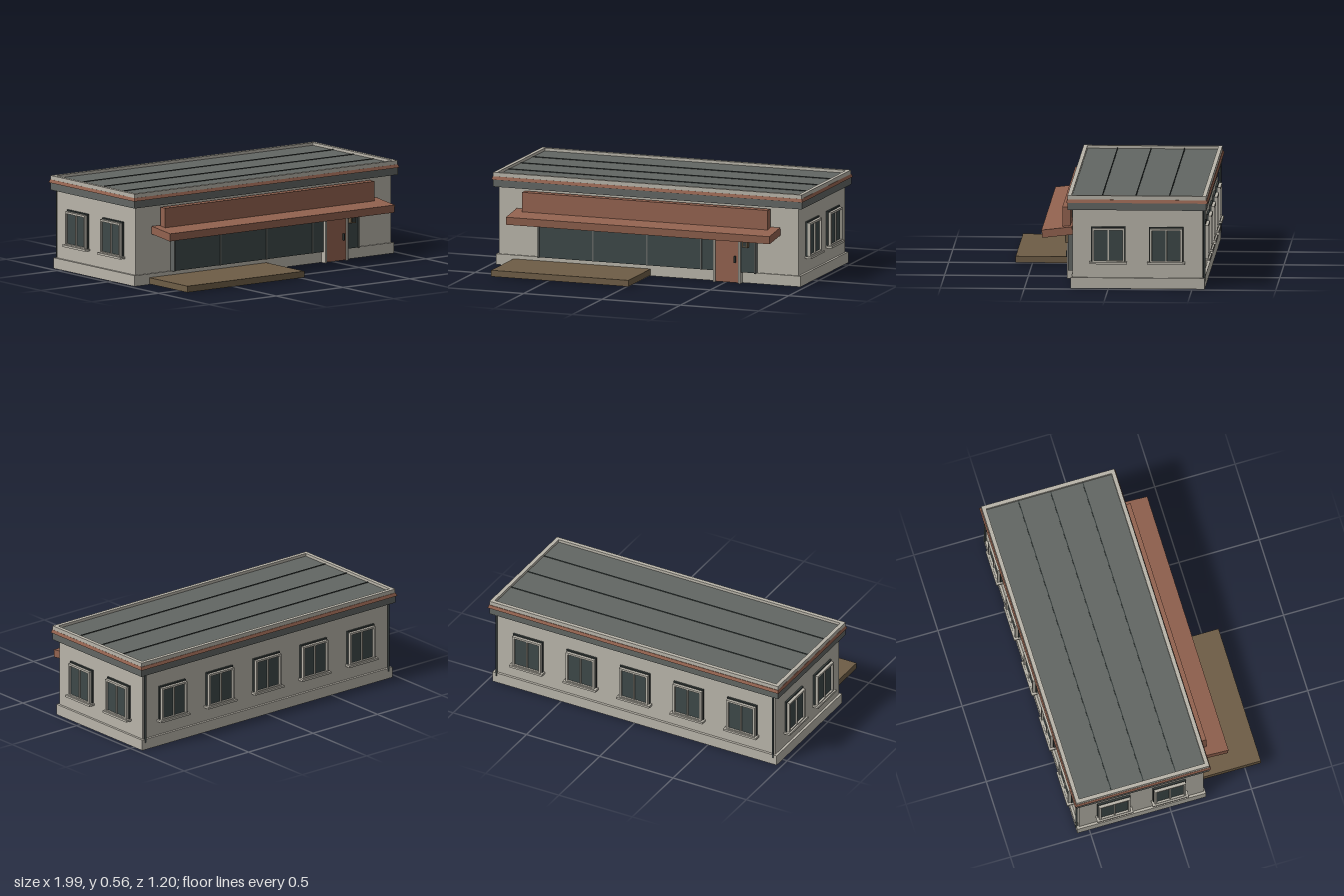
import * as THREE from 'three';

const mat = (name, color) => {
  const m = new THREE.MeshStandardMaterial({ color });
  m.name = name;
  return m;
};

export function createModel() {
  const plaster = mat('plaster', 0xb8b4a9);
  const slate = mat('slate', 0x626663);
  const brick = mat('brick red', 0x92624f);
  const timber = mat('timber', 0x6e5d46);
  const glass = mat('glass', 0x3d4848);
  const dark = mat('dark metal', 0x343b3a);

  const root = new THREE.Group();
  root.name = 'building';

  // Box given by its limits on each axis
  function box(parent, name, material, [x0, x1], [y0, y1], [z0, z1]) {
    const mesh = new THREE.Mesh(new THREE.BoxGeometry(x1 - x0, y1 - y0, z1 - z0), material);
    mesh.position.set((x0 + x1) / 2, (y0 + y1) / 2, (z0 + z1) / 2);
    mesh.name = name;
    parent.add(mesh);
    return mesh;
  }

  // Main body
  box(root, 'walls', plaster, [-0.955, 0.955], [0.002, 0.478], [-0.56, 0.215]);
  box(root, 'plinth', plaster, [-0.97, 0.97], [0, 0.065], [-0.575, 0.225]);

  // Roof edge, deck and seams
  box(root, 'fascia', slate, [-0.985, 0.985], [0.475, 0.52], [-0.585, 0.243]);
  const trim = box(root, 'roofTrim', brick, [-0.992, 0.992], [0.519, 0.538], [-0.595, 0.251]);
  const p = trim.geometry.attributes.position;
  for (let i = 0; i < p.count; i++) {
    if (p.getY(i) > 0) { // slope the trim inwards
      p.setX(i, p.getX(i) - Math.sign(p.getX(i)) * 0.007);
      p.setZ(i, p.getZ(i) - Math.sign(p.getZ(i)) * 0.007);
    }
  }
  trim.geometry.computeVertexNormals();
  box(root, 'roofDeck', slate, [-0.962, 0.962], [0.53, 0.545], [-0.567, 0.222]);
  for (const z of [-0.36, -0.16, 0.04])
    box(root, 'roofSeam', dark, [-0.96, 0.96], [0.544, 0.549], [z - 0.003, z + 0.003]);
  for (const s of [-1, 1]) {
    const x = s * 0.972;
    box(root, 'parapetSide', plaster, [x - 0.012, x + 0.012], [0.52, 0.562], [-0.585, 0.243]);
  }
  box(root, 'parapetFront', plaster, [-0.96, 0.96], [0.52, 0.562], [0.219, 0.243]);
  box(root, 'parapetBack', plaster, [-0.96, 0.96], [0.52, 0.562], [-0.585, -0.561]);

  // Window built facing +z, standing on the wall plane z = 0
  function makeWindow(x, z, turn) {
    const g = new THREE.Group();
    g.name = 'window';
    box(g, 'surround', dark, [-0.102, 0.102], [0.16, 0.372], [-0.004, 0.012]);
    box(g, 'pane', glass, [-0.092, 0.092], [0.166, 0.362], [0, 0.018]);
    for (const s of [-1, 1])
      box(g, 'stile', plaster, [s * 0.091 - 0.006, s * 0.091 + 0.006], [0.163, 0.362], [0, 0.03]);
    box(g, 'headRail', plaster, [-0.097, 0.097], [0.352, 0.364], [0, 0.03]);
    box(g, 'bottomRail', plaster, [-0.097, 0.097], [0.16, 0.17], [0, 0.03]);
    box(g, 'mullion', plaster, [-0.004, 0.004], [0.165, 0.36], [0, 0.026]);
    box(g, 'sill', plaster, [-0.112, 0.112], [0.15, 0.163], [-0.004, 0.04]);
    g.position.set(x, 0, z);
    g.rotation.y = turn;
    root.add(g);
  }
  for (let i = -2; i <= 2; i++) makeWindow(i * 0.365, -0.56, Math.PI);
  for (const s of [-1, 1])
    for (const z of [0, -0.345]) makeWindow(s * 0.955, z, s * Math.PI / 2);

  // Drainpipes at the back corners
  for (const s of [-1, 1]) {
    const pipe = new THREE.Mesh(new THREE.CylinderGeometry(0.007, 0.007, 0.435, 12), dark);
    pipe.position.set(s * 0.943, 0.262, -0.572);
    pipe.name = 'drainpipe';
    root.add(pipe);
  }

  // Shop front
  box(root, 'shopGlass', glass, [-0.69, 0.685], [0.067, 0.31], [0.21, 0.246]);
  for (const x of [-0.345, 0, 0.345])
    box(root, 'shopMullion', slate, [x - 0.004, x + 0.004], [0.067, 0.31], [0.21, 0.252]);
  for (const x of [-0.691, 0.688])
    box(root, 'shopFrameEnd', slate, [x - 0.004, x + 0.004], [0.065, 0.31], [0.21, 0.254]);

  // Door with jambs, handle and wall lamp
  box(root, 'door', brick, [0.438, 0.59], [0.003, 0.3], [0.21, 0.254]);
  for (const x of [0.433, 0.594])
    box(root, 'doorJamb', plaster, [x - 0.006, x + 0.006], [0, 0.3], [0.21, 0.264]);
  box(root, 'doorHandle', dark, [0.562, 0.569], [0.125, 0.165], [0.25, 0.272]);
  box(root, 'wallLamp', timber, [0.615, 0.65], [0.223, 0.275], [0.24, 0.27]);
  box(root, 'lampFace', dark, [0.621, 0.644], [0.23, 0.268], [0.268, 0.275]);

  // Sloping canopy and blank sign board
  const canopy = box(root, 'canopy', brick, [-0.84, 0.84], [0.293, 0.34], [0.22, 0.403]);
  canopy.rotation.x = 0.115;
  box(root, 'signBoard', brick, [-0.785, 0.782], [0.335, 0.462], [0.235, 0.283]);
  for (const x of [-0.6, 0, 0.6])
    box(root, 'signBracket', dark, [x - 0.01, x + 0.01], [0.37, 0.43], [0.21, 0.24]);

  // Terrace
  box(root, 'terrace', timber, [-0.86, 0.015], [0.004, 0.042], [0.22, 0.6]);

  return root;
}
